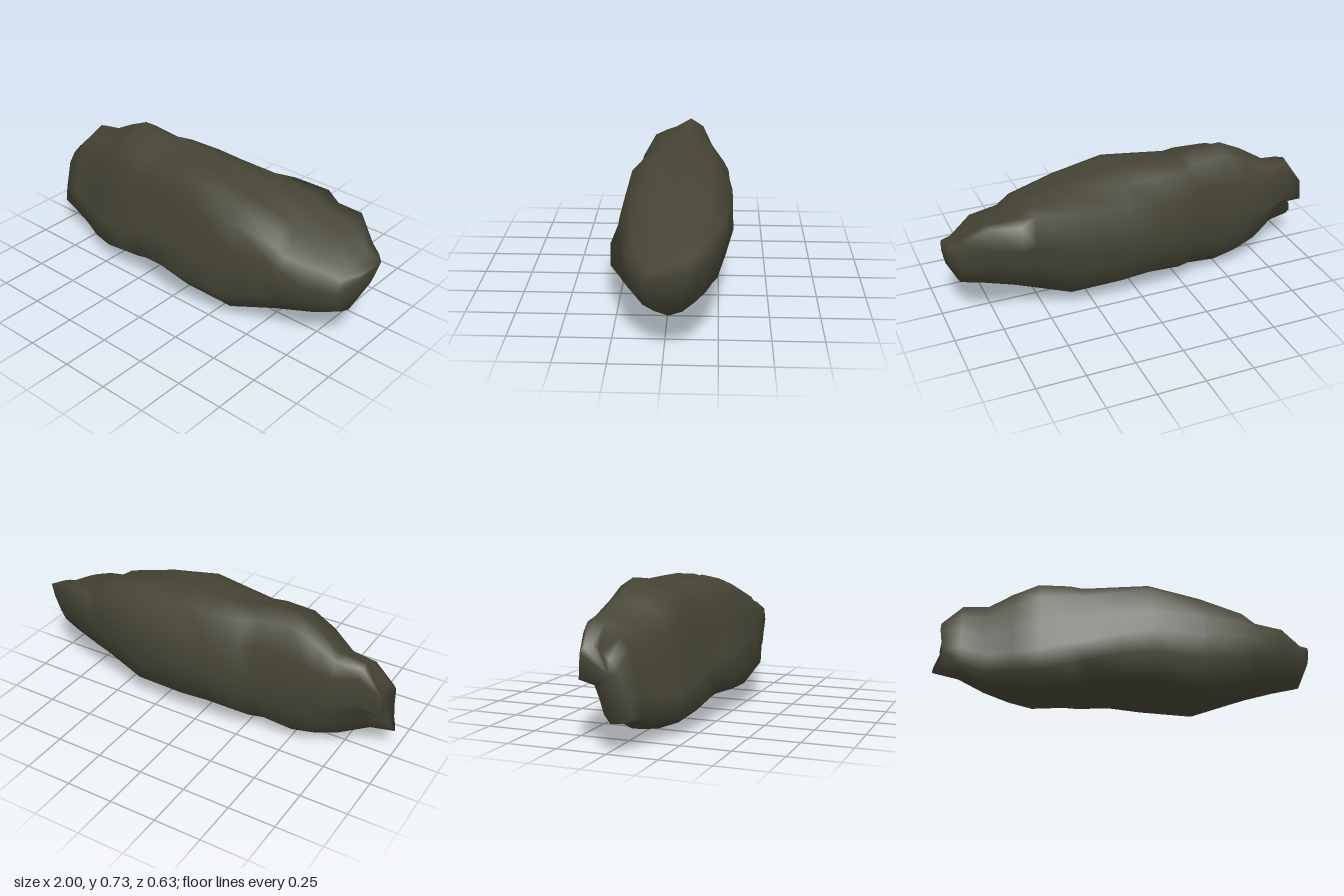
import * as THREE from 'three';

// Cross-sections, running front -> top -> back -> bottom: [z -1..1, y 0..1]
const BROKEN_END = [
  [1, 0.05], [0.9, 0.3], [0.7, 0.5], [0.5, 0.7], [0.2, 0.85], [-0.1, 0.93],
  [-0.4, 0.97], [-0.7, 1], [-0.9, 0.98], [-1, 0.9], [-1, 0.55], [-0.6, 0.45],
  [-0.2, 0.3], [0.05, 0.12], [0.3, 0], [0.7, 0],
];
const PEAK = [
  [1, 0.12], [0.95, 0.27], [0.83, 0.5], [0.67, 0.72], [0.47, 0.85], [0.2, 0.89],
  [-0.05, 0.93], [-0.42, 1], [-0.7, 0.94], [-0.95, 0.76], [-1, 0.5], [-0.94, 0.32],
  [-0.8, 0.16], [-0.4, 0.04], [0.18, 0], [0.58, 0.05],
];
const MIDDLE = [
  [1, 0.24], [0.82, 0.46], [0.75, 0.64], [0.62, 0.87], [0.4, 0.96], [0.15, 1],
  [0, 0.96], [-0.3, 1], [-0.65, 0.94], [-0.95, 0.8], [-1, 0.47], [-0.87, 0.3],
  [-0.8, 0.13], [-0.5, 0.01], [0.1, 0], [0.7, 0.06],
];
const SLOPED_END = [
  [0.95, 0.28], [1, 0.47], [0.97, 0.62], [0.78, 0.7], [0.5, 0.76], [0.28, 0.81],
  [0.01, 0.86], [-0.26, 0.9], [-0.62, 0.95], [-1, 1], [-0.98, 0.72], [-0.89, 0.47],
  [-0.66, 0.23], [-0.26, 0.07], [0.19, 0], [0.64, 0.07],
];
const KEYS = [[-0.97, BROKEN_END], [-0.62, PEAK], [0.1, MIDDLE], [0.8, SLOPED_END]];

// Stations along the length: [x, bottom, top, back z, front z]
const STATIONS = [
  [-0.97, 0.14, 0.47, -0.14, 0.11],
  [-0.87, 0.115, 0.58, -0.17, 0.13],
  [-0.74, 0.055, 0.60, -0.21, 0.15],
  [-0.61, 0.025, 0.675, -0.217, 0.205],
  [-0.49, 0.00, 0.73, -0.227, 0.23],
  [-0.33, 0.025, 0.71, -0.24, 0.25],
  [-0.26, 0.04, 0.70, -0.285, 0.25],
  [-0.08, 0.065, 0.697, -0.31, 0.285],
  [0.08, 0.058, 0.695, -0.315, 0.315],
  [0.35, 0.03, 0.69, -0.32, 0.295],
  [0.57, 0.10, 0.66, -0.295, 0.235],
  [0.64, 0.125, 0.60, -0.285, 0.22],
  [0.79, 0.165, 0.59, -0.262, 0.18],
  [0.91, 0.20, 0.50, -0.19, 0.09],
  [0.97, 0.33, 0.48, -0.155, 0.01],
];

// Blends the two key sections on either side of x
function sectionAt(x) {
  let k = 0;
  while (k < KEYS.length - 2 && x > KEYS[k + 1][0]) k++;
  const [x0, from] = KEYS[k];
  const [x1, to] = KEYS[k + 1];
  const t = THREE.MathUtils.clamp((x - x0) / (x1 - x0), 0, 1);
  return from.map(([u, v], j) => [
    THREE.MathUtils.lerp(u, to[j][0], t),
    THREE.MathUtils.lerp(v, to[j][1], t),
  ]);
}

// Lofts the stations into one closed, smooth-shaded boulder
function boulderGeometry() {
  const n = MIDDLE.length;
  const positions = [];
  const index = [];

  STATIONS.forEach(([x, bottom, top, back, front], i) => {
    sectionAt(x).forEach(([u, v]) => {
      const z = (front + back) / 2 + (u * (front - back)) / 2;
      const y = bottom + v * (top - bottom);
      let px = x;
      if (i === 0) {
        // Leaning, notched broken end
        const notch = Math.max(0, 1 - Math.abs(z + 0.085) / 0.06);
        px = -1 + 0.1 * Math.max(0, y - 0.16) + 0.07 * notch + 0.6 * Math.max(0, z - 0.04);
      }
      positions.push(px, y, z);
    });
  });

  // Skin between neighbouring stations
  for (let i = 0; i < STATIONS.length - 1; i++) {
    for (let j = 0; j < n; j++) {
      const a = i * n + j;
      const b = i * n + ((j + 1) % n);
      index.push(a, a + n, b, b, a + n, b + n);
    }
  }

  // Hollowed left end and pointed right end
  const hollow = positions.length / 3;
  positions.push(-0.94, 0.34, -0.01);
  const tip = hollow + 1;
  positions.push(1, 0.46, -0.13);
  const last = (STATIONS.length - 1) * n;
  for (let j = 0; j < n; j++) {
    const k = (j + 1) % n;
    index.push(hollow, j, k, tip, last + k, last + j);
  }

  const geometry = new THREE.BufferGeometry();
  geometry.setAttribute('position', new THREE.Float32BufferAttribute(positions, 3));
  geometry.setIndex(index);
  geometry.computeVertexNormals();
  return geometry;
}

export function createModel() {
  const model = new THREE.Group();
  model.name = 'longRock';

  const stone = new THREE.MeshStandardMaterial({ color: 0x454435 });
  stone.name = 'dark olive stone';

  const boulder = new THREE.Mesh(boulderGeometry(), stone);
  boulder.name = 'boulder';
  model.add(boulder);
  return model;
}
